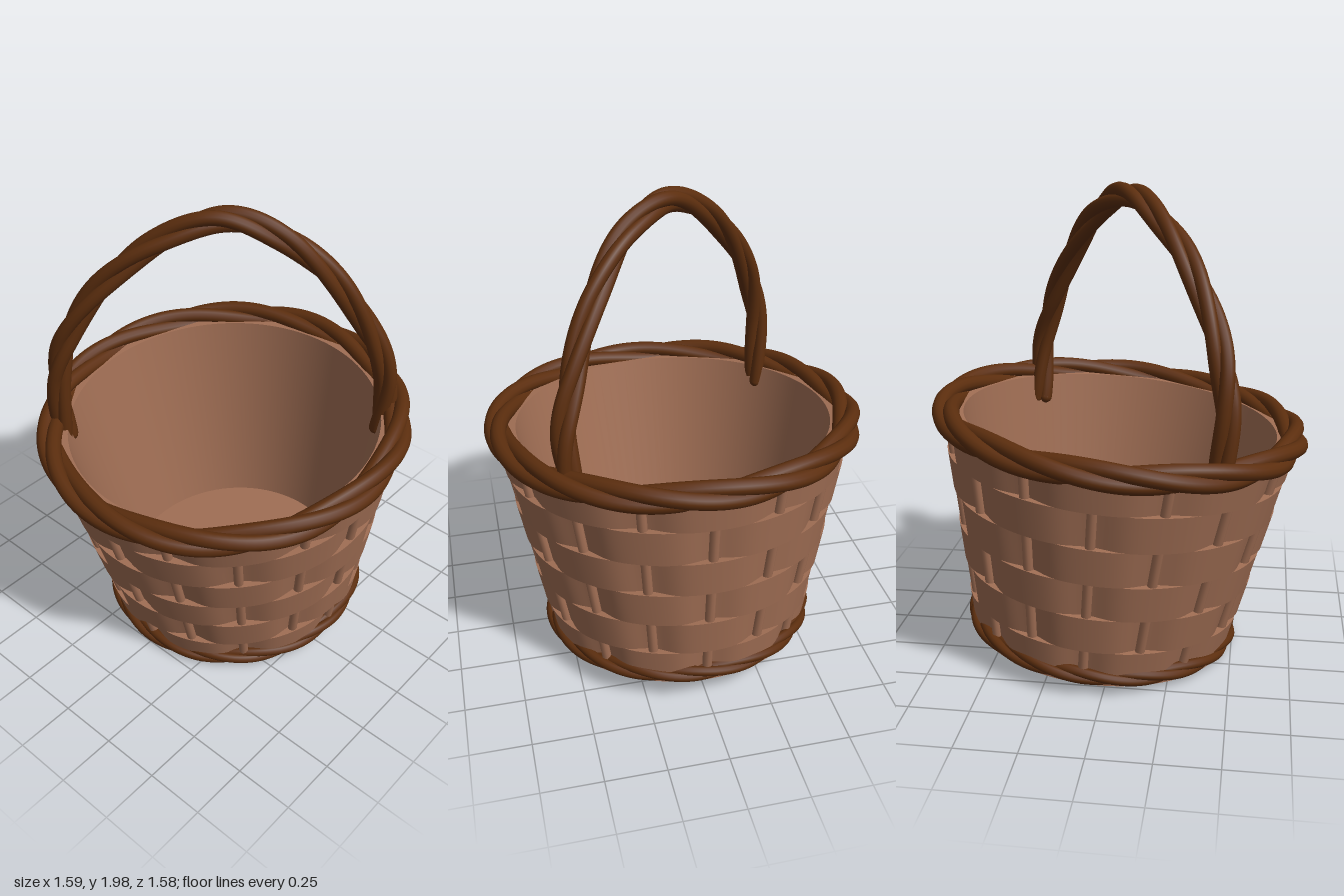
import * as THREE from 'three';
import { toCreasedNormals } from 'three/addons/utils/BufferGeometryUtils.js';

const wicker = new THREE.MeshStandardMaterial({ color: 0xa06e54 });
wicker.name = 'light wicker';
const cane = new THREE.MeshStandardMaterial({ color: 0x5c2e0e });
cane.name = 'dark cane';

// Mean outer radius of the woven wall at a height
const wallRadius = (y) => 0.55 + 0.195 * y;

function add(parent, name, geometry, material) {
  const mesh = new THREE.Mesh(geometry, material);
  mesh.name = name;
  parent.add(mesh);
  return mesh;
}

// Horizontal circle used as the path of a rope ring
class Ring extends THREE.Curve {
  constructor(radius, y) {
    super();
    this.radius = radius;
    this.y = y;
  }
  getPoint(t, target = new THREE.Vector3()) {
    const a = t * Math.PI * 2;
    return target.set(this.radius * Math.sin(a), this.y, this.radius * Math.cos(a));
  }
}

// One strand winding around a path
class Strand extends THREE.Curve {
  constructor(path, side, offset, twists, phase) {
    super();
    Object.assign(this, { path, side, offset, twists, phase });
  }
  getPoint(t, target = new THREE.Vector3()) {
    const a = this.phase + t * this.twists * Math.PI * 2;
    const across = this.path.getTangent(t).cross(this.side).normalize();
    return target.copy(this.path.getPoint(t))
      .addScaledVector(this.side, Math.cos(a) * this.offset)
      .addScaledVector(across, Math.sin(a) * this.offset);
  }
}

// Three twisted strands, with rounded ends when the path is open
function rope(name, path, side, strandRadius, offset, twists, closed) {
  const group = new THREE.Group();
  group.name = name;
  for (let i = 0; i < 3; i++) {
    const strand = new Strand(path, side, offset, twists, i * Math.PI * 2 / 3);
    add(group, 'strand', new THREE.TubeGeometry(strand, 160, strandRadius, 12, closed), cane);
    if (closed) continue;
    for (const t of [0, 1]) {
      add(group, 'strandEnd', new THREE.SphereGeometry(strandRadius, 12, 8), cane)
        .position.copy(strand.getPoint(t));
    }
  }
  return group;
}

// Woven band: bulges outward, dipping behind every second stake
function band(row) {
  const y0 = row * 0.16, y1 = y0 + 0.16;
  const profile = [
    [wallRadius(y0) - 0.04, y0], [wallRadius(y0), y0],
    [wallRadius(y1), y1], [wallRadius(y1) - 0.04, y1],
  ].map(([r, y]) => new THREE.Vector2(r, y));
  const geometry = new THREE.LatheGeometry(profile, 160);
  const p = geometry.attributes.position;
  const shift = row % 2 ? Math.PI / 8 : 0;
  for (let i = 0; i < p.count; i++) {
    if (i % 4 === 0 || i % 4 === 3) continue;
    const x = p.getX(i), z = p.getZ(i), r = Math.hypot(x, z);
    const dip = Math.pow(Math.cos(4 * (Math.atan2(x, z) - shift)), 6);
    const k = (r + 0.018 - 0.034 * dip) / r;
    p.setXYZ(i, x * k, p.getY(i), z * k);
  }
  return toCreasedNormals(geometry, 0.6);
}

export function createModel() {
  const model = new THREE.Group();
  model.name = 'basket';

  // The tub leans slightly toward the front
  const tub = new THREE.Group();
  tub.name = 'tub';
  tub.position.set(0, 0.06, -0.085);
  tub.rotation.x = 0.09;
  model.add(tub);

  // Solid shell: underside, wall, lip, smooth interior and floor
  const shell = [[0, 0], [0.572, 0], [0.572, 0.012], [0.535, 0.02], [0.705, 0.955],
    [0.665, 0.955], [0.5, 0.03], [0, 0.03]].map(([r, y]) => new THREE.Vector2(r, y));
  add(tub, 'shell', toCreasedNormals(new THREE.LatheGeometry(shell, 96), 0.5), wicker);

  // Woven bands
  for (let row = 0; row < 6; row++) add(tub, 'wovenBand', band(row), wicker);

  // Upright stakes showing where the bands dip
  const up = new THREE.Vector3(0, 1, 0);
  for (let i = 0; i < 16; i++) {
    const a = i * Math.PI / 8;
    const at = (y) => new THREE.Vector3(Math.sin(a), 0, Math.cos(a))
      .multiplyScalar(wallRadius(y) - 0.006).setY(y);
    const low = at(0.02), high = at(0.95);
    const stake = add(tub, 'stake', new THREE.CylinderGeometry(0.02, 0.02, low.distanceTo(high), 10), wicker);
    stake.position.copy(low).lerp(high, 0.5);
    stake.quaternion.setFromUnitVectors(up, high.clone().sub(low).normalize());
  }

  // Rope rings at rim and foot
  tub.add(rope('rimRope', new Ring(0.735, 0.958), up, 0.033, 0.028, 4, true));
  tub.add(rope('footRope', new Ring(0.562, 0.035), up, 0.021, 0.016, 5, true));

  // Dark spots on the floor
  for (const [x, z, rx, rz, turn] of [[0.09, -0.14, 0.044, 0.046, 0], [-0.28, 0.15, 0.07, 0.05, 0.6]]) {
    const spot = add(tub, 'floorSpot', new THREE.CylinderGeometry(1, 1, 0.006, 32), cane);
    spot.scale.set(rx, 1, rz);
    spot.rotation.y = turn;
    spot.position.set(x, 0.031, z);
  }

  // Arched rope handle set diagonally across the rim
  const arch = new THREE.CatmullRomCurve3([
    [-0.51, 0.9, 0.45], [-0.5, 1.22, 0.465], [-0.45, 1.43, 0.43], [-0.33, 1.66, 0.335],
    [-0.17, 1.84, 0.2], [0.02, 1.945, 0.04], [0.2, 1.88, -0.1], [0.35, 1.7, -0.24],
    [0.46, 1.45, -0.36], [0.515, 1.22, -0.43], [0.5, 0.95, -0.45],
  ].map((p) => new THREE.Vector3(...p)));
  const side = new THREE.Vector3(0.66, 0, 0.75).normalize();
  model.add(rope('handle', arch, side, 0.029, 0.025, 2.5, false));

  return model;
}
